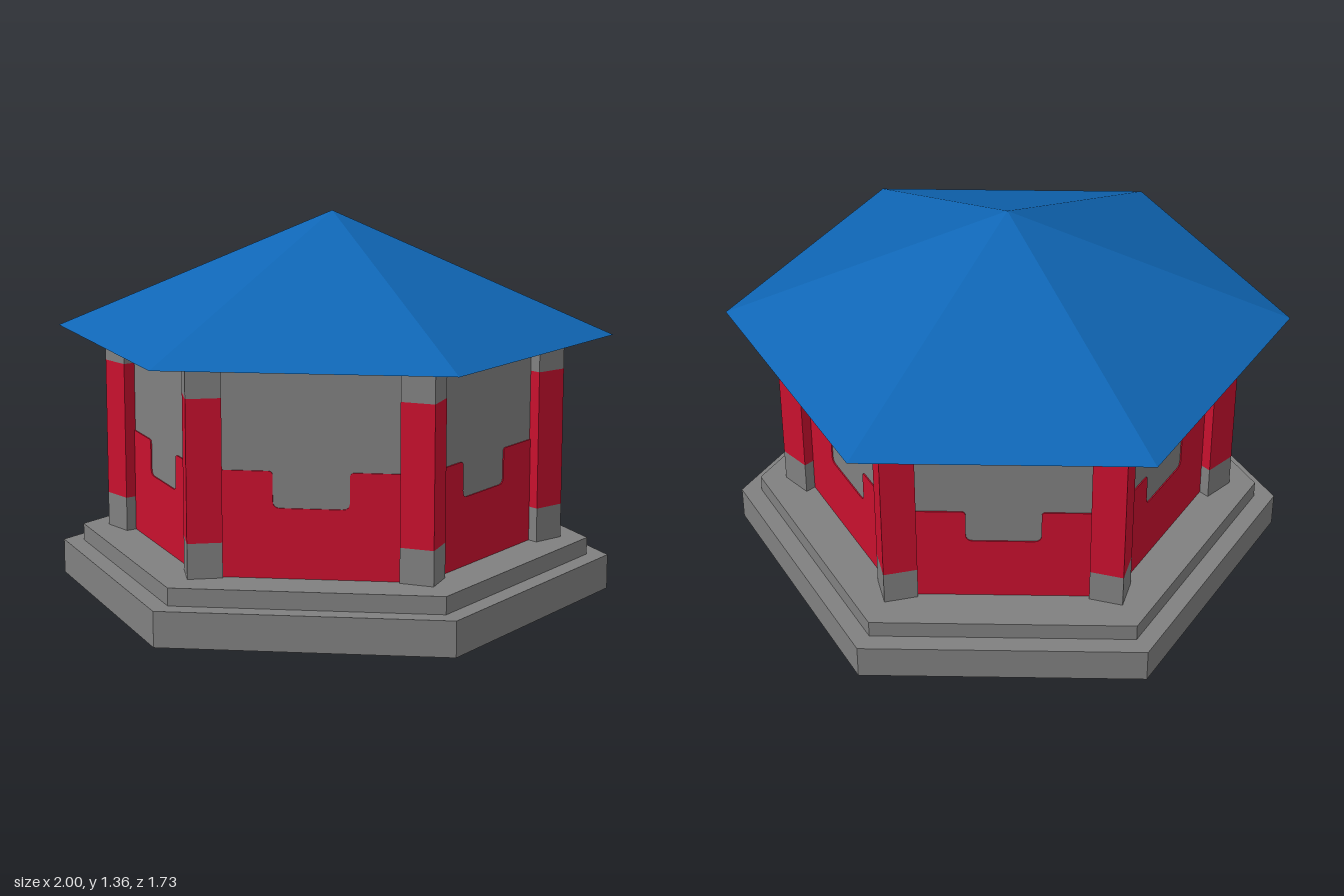
import * as THREE from 'three';

const grey = new THREE.MeshStandardMaterial({ name: 'stoneGrey', color: 0x808080, flatShading: true });
const red = new THREE.MeshStandardMaterial({ name: 'red', color: 0xc8102e, flatShading: true });
const blue = new THREE.MeshStandardMaterial({ name: 'roofBlue', color: 0x0f66b5, flatShading: true });

export function createModel() {
  const model = new THREE.Group();
  model.name = 'hexagonalPavilion';

  function add(parent, name, geometry, material) {
    const mesh = new THREE.Mesh(geometry, material);
    mesh.name = name;
    parent.add(mesh);
    return mesh;
  }

  // Six-sided prism with corners on the x axis
  function hexPrism(name, radius, y0, y1, material, topRadius = radius) {
    const g = new THREE.CylinderGeometry(topRadius, radius, y1 - y0, 6, 1, false, Math.PI / 6);
    g.translate(0, (y0 + y1) / 2, 0);
    return add(model, name, g, material);
  }

  hexPrism('basePlinth', 1, 0, 0.125, grey);
  hexPrism('baseStep', 0.925, 0.125, 0.187, grey);
  hexPrism('walls', 0.744, 0.187, 0.93, grey);
  // Blue roof with a red underside
  hexPrism('roof', 1, 0.93, 1.36, [blue, blue, red], 0);

  // Red lower wall panel with a notch that has softened corners
  const r = 0.025;
  const s = new THREE.Shape();
  s.moveTo(-0.37, 0.187);
  s.lineTo(0.37, 0.187);
  s.lineTo(0.37, 0.557);
  s.lineTo(0.13 + r * 0.6, 0.557);
  s.quadraticCurveTo(0.13, 0.557, 0.13, 0.557 - r * 0.6);
  s.lineTo(0.13, 0.43 + r);
  s.quadraticCurveTo(0.13, 0.43, 0.13 - r, 0.43);
  s.lineTo(-0.13 + r, 0.43);
  s.quadraticCurveTo(-0.13, 0.43, -0.13, 0.43 + r);
  s.lineTo(-0.13, 0.557 - r * 0.6);
  s.quadraticCurveTo(-0.13, 0.557, -0.13 - r * 0.6, 0.557);
  s.lineTo(-0.37, 0.557);
  s.closePath();
  const panelGeometry = new THREE.ExtrudeGeometry(s, { depth: 0.005, bevelEnabled: false, curveSegments: 4 });
  panelGeometry.translate(0, 0, 0.6435);

  // Column bands: grey foot, red shaft, grey head
  const bands = [
    ['columnFoot', 0.187, 0.31, grey],
    ['columnShaft', 0.31, 0.805, red],
    ['columnHead', 0.805, 0.93, grey],
  ];

  for (let i = 0; i < 6; i++) {
    const a = (i * Math.PI) / 3;
    add(model, 'wallPanel', panelGeometry, red).rotation.y = a;

    // Square column with one edge pointing outward
    const column = new THREE.Group();
    column.name = 'column';
    column.position.set(0.744 * Math.cos(a), 0, 0.717 * Math.sin(a));
    column.rotation.y = -a;
    for (const [name, y0, y1, material] of bands) {
      const g = new THREE.CylinderGeometry(0.085, 0.085, y1 - y0, 4);
      g.translate(0, (y0 + y1) / 2, 0);
      add(column, name, g, material);
    }
    model.add(column);
  }
  return model;
}
